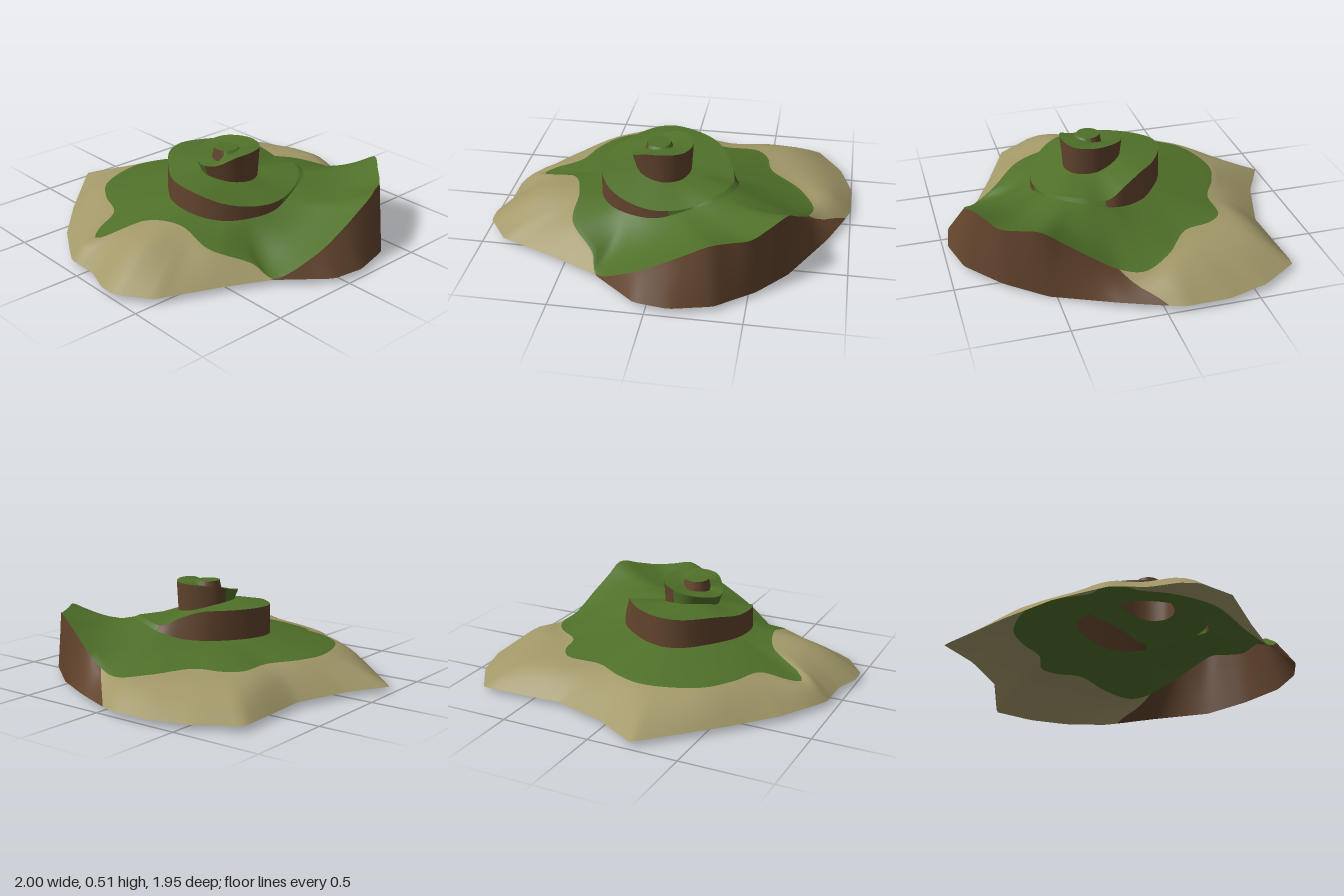
import * as THREE from 'three';
import { toCreasedNormals } from 'three/addons/utils/BufferGeometryUtils.js';

const N = 180;            // angular divisions round the hill
const CX = -0.07, CZ = 0.13; // summit axis; angle 0 = +x, 90 = +z

const mat = (name, color) => {
  const m = new THREE.MeshStandardMaterial({ color, side: THREE.DoubleSide });
  m.name = name;
  return m;
};

// Resample a closed contour of [x, y, z] points at N even angles round the axis
function ring(points, smooth = true) {
  let pts = points.map(p => new THREE.Vector3(...p));
  if (smooth) pts = new THREE.CatmullRomCurve3(pts, true, 'centripetal').getPoints(300);
  const out = [];
  for (let j = 0; j < N; j++) {
    const a = (j / N) * Math.PI * 2, dx = Math.cos(a), dz = Math.sin(a);
    let best = null, bestR = 0;
    for (let i = 0; i < pts.length; i++) {
      const p = pts[i], q = pts[(i + 1) % pts.length];
      const sp = (p.z - CZ) * dx - (p.x - CX) * dz;
      const sq = (q.z - CZ) * dx - (q.x - CX) * dz;
      if (sp === sq || sp * sq > 0) continue;
      const v = p.clone().lerp(q, sp / (sp - sq));
      const r = (v.x - CX) * dx + (v.z - CZ) * dz;
      if (r > bestR) { bestR = r; best = v; }
    }
    out.push(best);
  }
  return out;
}

// Value at an angle in degrees from a short [angle, value] table, eased between entries
function byAngle(table, deg) {
  for (let i = 0; i < table.length - 1; i++) {
    const [a, u] = table[i], [b, v] = table[i + 1];
    if (deg >= a && deg <= b) return u + (v - u) * THREE.MathUtils.smoothstep(deg, a, b);
  }
  return table[table.length - 1][1];
}

// Rows of points between two rings, with an optional swelling in the middle
function rows(outer, inner, steps, bulge = () => 0) {
  return Array.from({ length: steps + 1 }, (_, s) => outer.map((p, j) => {
    const t = s / steps, v = p.clone().lerp(inner[j], t);
    v.y += bulge(j * 360 / N) * Math.sin(Math.PI * t);
    return v;
  }));
}

// Skin rows from outside to inside; pick(row, degrees) gives each triangle's material index
function skin(name, list, materials, pick = () => 0) {
  const position = list.flat().flatMap(v => [v.x, v.y, v.z]);
  const faces = materials.map(() => []);
  for (let i = 0; i < list.length - 1; i++) {
    for (let j = 0; j < N; j++) {
      const k = (j + 1) % N, a = i * N + j, b = i * N + k, c = a + N, d = b + N;
      faces[pick(i, (j + 2 / 3) * 360 / N)].push(a, d, b);
      if (list[i + 1][j].distanceTo(list[i + 1][k]) > 1e-6) {
        faces[pick(i, (j + 1 / 3) * 360 / N)].push(a, c, d);
      }
    }
  }
  const geo = new THREE.BufferGeometry();
  geo.setAttribute('position', new THREE.Float32BufferAttribute(position, 3));
  geo.setIndex(faces.flat());
  let start = 0;
  faces.forEach((f, i) => { if (f.length) geo.addGroup(start, f.length, i); start += f.length; });
  const mesh = new THREE.Mesh(toCreasedNormals(geo, 0.75), materials);
  mesh.name = name;
  return mesh;
}

export function createModel() {
  const group = new THREE.Group();
  group.name = 'spiralHillIsland';
  const sand = mat('sand', 0xa29869), grass = mat('grass', 0x4f7029), rock = mat('rock', 0x61432c);

  // Shoreline
  const shore = ring([
    [-0.23, 0.03, -0.98], [0, 0.03, -0.85], [0.32, 0.03, -0.75], [0.79, 0.03, -0.77],
    [0.93, 0.03, -0.56], [1, 0.03, -0.33], [1, 0.03, -0.09], [0.96, 0.03, 0.02],
    [0.88, 0.03, 0.22], [0.69, 0, 0.54], [0.54, 0.02, 0.75], [0.34, 0.03, 0.92],
    [0.12, 0.03, 0.975], [-0.06, 0.03, 0.95], [-0.31, 0.03, 0.745], [-0.55, 0.03, 0.63],
    [-0.88, 0.03, 0.49], [-1, 0.03, 0.32], [-1, 0.03, 0.22], [-0.95, 0.03, 0.08],
    [-0.95, 0.03, -0.11], [-0.89, 0.03, -0.22], [-0.79, 0.03, -0.39], [-0.58, 0.03, -0.63],
  ], false);

  // Edge of the grass, which is also the angular rim of the front cliff
  const grassEdge = ring([
    [0.79, 0.13, 0.06], [0.77, 0.15, 0.18], [0.735, 0.24, 0.34], [0.7, 0.315, 0.46],
    [0.67, 0.38, 0.57], [0.59, 0.355, 0.66], [0.5, 0.33, 0.75], [0.4, 0.336, 0.8],
    [0.31, 0.342, 0.85], [0.2, 0.288, 0.858], [0.1, 0.235, 0.86], [-0.1, 0.13, 0.84],
    [-0.3, 0.035, 0.745], [-0.34, 0.09, 0.64], [-0.49, 0.16, 0.46], [-0.5, 0.22, 0.25],
    [-0.58, 0.2, 0.05], [-0.75, 0.14, -0.04], [-0.8, 0.115, -0.1], [-0.74, 0.13, -0.15],
    [-0.6, 0.165, -0.2], [-0.52, 0.17, -0.38], [-0.4, 0.17, -0.53], [-0.12, 0.17, -0.62],
    [0.05, 0.17, -0.58], [0.22, 0.17, -0.49], [0.42, 0.17, -0.48], [0.49, 0.17, -0.4],
    [0.53, 0.17, -0.25], [0.7, 0.15, -0.1],
  ]);

  // Terrace wall: foot and lip meet at the front right, where the path climbs up
  const terrace = [
    // x, z, foot height, lip height
    [0.35, 0.13, 0.285, 0.315], [0.33, 0.27, 0.32, 0.335], [0.26, 0.37, 0.32, 0.33],
    [0.13, 0.44, 0.28, 0.29], [-0.03, 0.47, 0.235, 0.28], [-0.18, 0.43, 0.22, 0.29],
    [-0.3, 0.355, 0.22, 0.32], [-0.37, 0.24, 0.23, 0.355], [-0.37, 0.04, 0.24, 0.37],
    [-0.29, -0.1, 0.24, 0.39], [-0.16, -0.24, 0.24, 0.4], [-0.06, -0.272, 0.24, 0.405],
    [0.05, -0.245, 0.24, 0.405], [0.17, -0.17, 0.24, 0.405], [0.25, -0.08, 0.245, 0.4],
    [0.31, 0.02, 0.255, 0.365],
  ];
  const foot = ring(terrace.map(([x, z, f]) => {
    const lean = x > 0.2 ? 1.06 : 1.008; // the right side of the wall slopes outwards
    return [CX + (x - CX) * lean, f, CZ + (z - CZ) * lean];
  }));
  const lip = ring(terrace.map(([x, z, , l]) => [x, l, z]));

  // Upper knob, whose rim winds up from the left round the back to the front
  const knob = [
    [0.12, 0.12, 0.36, 0.51], [0.08, 0.24, 0.345, 0.51], [-0.02, 0.29, 0.345, 0.515],
    [-0.13, 0.275, 0.355, 0.505], [-0.2, 0.2, 0.37, 0.455], [-0.225, 0.1, 0.385, 0.44],
    [-0.18, 0, 0.41, 0.455], [-0.07, -0.055, 0.415, 0.475], [0.05, -0.02, 0.4, 0.5],
  ];
  const knobFoot = ring(knob.map(([x, z, f]) => {
    const lean = x < -0.1 ? 0.86 : 0.95; // the wall overhangs, most on the left
    return [CX + (x - CX) * lean, f, CZ + (z - CZ) * lean];
  }));
  const knobRim = ring(knob.map(([x, z, , r]) => [x, r, z]));

  // Small round core at the top of the spiral
  const circle = (r, height) => Array.from({ length: N }, (_, j) => {
    const a = (j / N) * Math.PI * 2;
    return new THREE.Vector3(CX + r * Math.cos(a), height(j * 360 / N), CZ + r * Math.sin(a));
  });
  const coreFoot = circle(0.075, d => byAngle(
    [[0, 0.49], [60, 0.505], [130, 0.495], [170, 0.45], [260, 0.46], [360, 0.49]], d));
  const coreRim = circle(0.065, () => 0.512);

  // Dunes swell between shore and grass, except along the cliff and the front left bay
  const dune = d => byAngle([[0, 0], [110, 0], [150, 0.005], [172, 0.055], [200, 0.025],
    [235, 0.02], [275, 0.005], [310, 0.04], [345, 0.045], [360, 0]], d);
  // The meadow dips in a shallow hollow behind the cliff rim
  const hollow = d => byAngle([[0, 0], [30, -0.025], [60, -0.035], [105, -0.035], [135, 0], [360, 0]], d);
  // The cliff's right end slants up from the shore, one column for each row
  const isCliff = (row, d) => {
    const signed = d > 180 ? d - 360 : d;
    return signed > row * 2 - 7 && signed < 111;
  };

  group.add(
    skin('beachCliffAndMeadow',
      [...rows(shore, grassEdge, 6, dune), ...rows(grassEdge, foot, 8, hollow).slice(1)],
      [sand, grass, rock], (i, d) => (i >= 6 ? 1 : isCliff(i, d) ? 2 : 0)),
    skin('terraceWall', rows(foot, lip, 2), [rock, grass], (i, d) => (d > 2 && d < 72 ? 1 : 0)),
    skin('terracePath', rows(lip, knobFoot, 5), [grass]),
    skin('knobWall', rows(knobFoot, knobRim, 2), [rock, grass], (i, d) => (d > 180 && d < 290 ? 1 : 0)),
    skin('knobPath', rows(knobRim, coreFoot, 3), [grass]),
    skin('coreWall', rows(coreFoot, coreRim, 1), [rock, grass], (i, d) => (d < 140 ? 1 : 0)),
    skin('summit', rows(coreRim, circle(0, () => 0.512), 1), [grass]),
  );
  return group;
}
